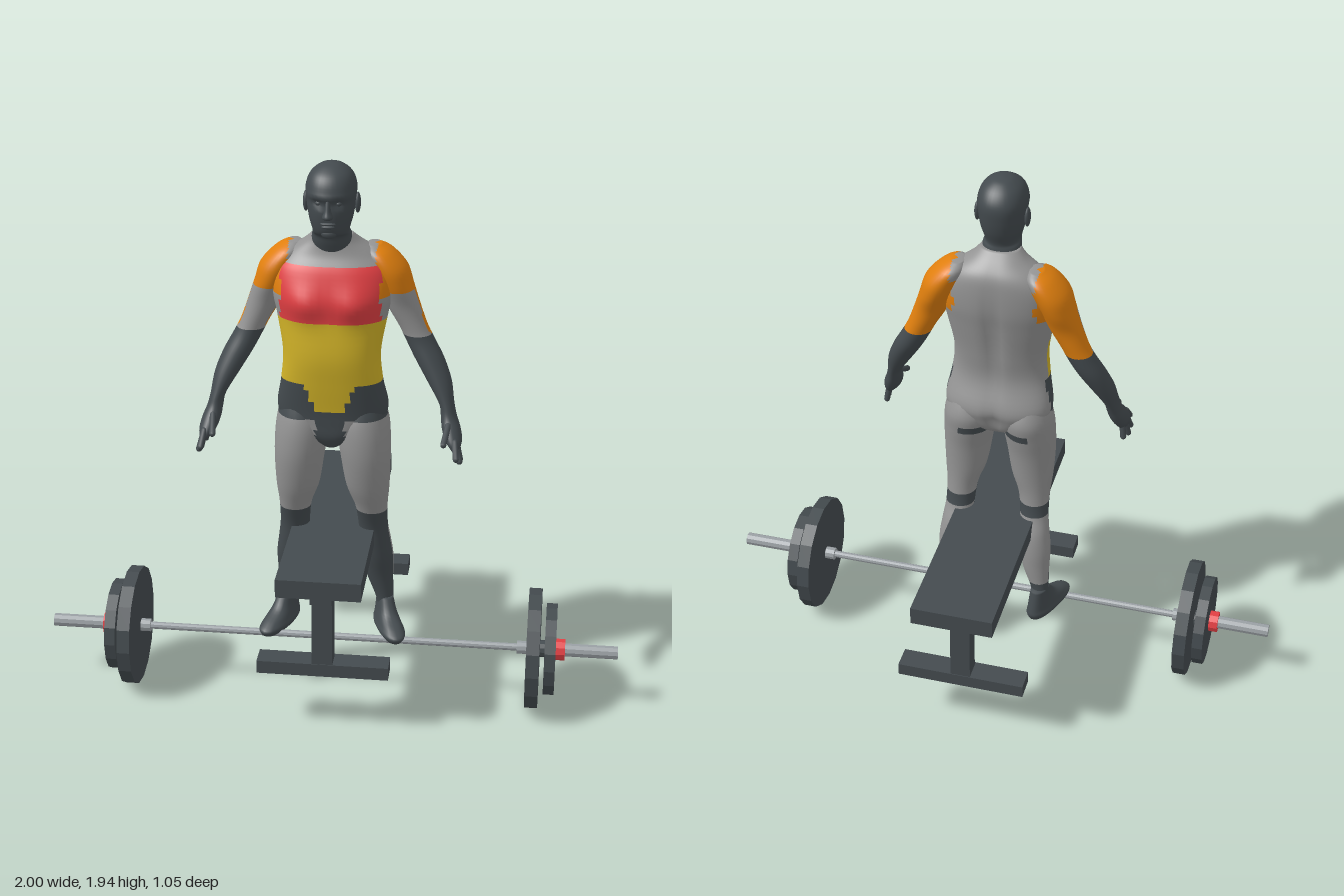
import * as THREE from 'three';

const mat = (name, color) => {
  const m = new THREE.MeshStandardMaterial({ color });
  m.name = name;
  return m;
};
const MATS = [mat('charcoal', 0x444b4f), mat('grey', 0x949494), mat('red', 0xe23f43),
  mat('orange', 0xe07f0e), mat('yellow', 0xd3b428), mat('steel', 0x9aa0a4)];
const DARK = 0, GREY = 1, RED = 2, ORANGE = 3, YELLOW = 4, STEEL = 5;

function add(parent, name, geo, material) {
  const mesh = new THREE.Mesh(geo, material);
  mesh.name = name;
  parent.add(mesh);
  return mesh;
}

// Smooth loft through level sections [y, x0, x1, z0, z1], listed upwards; paint() picks a colour per face
function loft(sections, { seg = 32, steps = 5, power = 1, paint = () => DARK, shape } = {}) {
  const rows = [];
  const at = i => sections[Math.min(Math.max(i, 0), sections.length - 1)];
  for (let i = 0; i < sections.length - 1; i++) {
    for (let k = 0; k < steps; k++) {
      const t = k / steps;
      rows.push(at(i).map((p1, c) => {
        const p0 = at(i - 1)[c], p2 = at(i + 1)[c], p3 = at(i + 2)[c];
        return p1 + 0.5 * t * (p2 - p0 + t * (2 * p0 - 5 * p1 + 4 * p2 - p3 + t * (3 * (p1 - p2) + p3 - p0)));
      }));
    }
  }
  rows.push(at(sections.length - 1));
  const pts = [], bend = v => Math.sign(v) * Math.abs(v) ** power;
  for (const [y, x0, x1, z0, z1] of rows) {
    for (let j = 0; j < seg; j++) {
      const a = j / seg * Math.PI * 2;
      const p = new THREE.Vector3((x0 + x1) / 2 + (x1 - x0) / 2 * bend(Math.cos(a)), y,
        (z0 + z1) / 2 + (z1 - z0) / 2 * bend(Math.sin(a)));
      if (shape) shape(p, Math.sin(a));
      pts.push(p);
    }
  }
  const centre = r => new THREE.Vector3((r[1] + r[2]) / 2, r[0], (r[3] + r[4]) / 2);
  const bottom = pts.push(centre(rows[0])) - 1;
  const top = pts.push(centre(rows[rows.length - 1])) - 1;
  const lists = MATS.map(() => []);
  const face = (...ids) => {
    const c = ids.reduce((s, i) => s.add(pts[i]), new THREE.Vector3()).divideScalar(ids.length);
    const list = lists[paint(Math.abs(c.x), c.y, c.z)];
    for (let k = 2; k < ids.length; k++) list.push(ids[0], ids[k - 1], ids[k]);
  };
  const last = (rows.length - 1) * seg;
  for (let j = 0; j < seg; j++) {
    const n = (j + 1) % seg;
    for (let i = 0; i < last; i += seg) face(i + j, i + seg + j, i + seg + n, i + n);
    face(bottom, j, n);
    face(top, last + n, last + j);
  }
  const geo = new THREE.BufferGeometry().setFromPoints(pts);
  geo.setIndex(lists.flat());
  let start = 0;
  lists.forEach((l, m) => {
    if (l.length) geo.addGroup(start, l.length, m);
    start += l.length;
  });
  geo.computeVertexNormals();
  return geo;
}

const mirror = (sections, s) => s > 0 ? sections : sections.map(([y, a, b, c, d]) => [y, -b, -a, c, d]);
const bump = (v, mid, w) => Math.exp(-(((v - mid) / w) ** 2));

const paintTorso = (x, y, z) => {
  if (z < 0.12) {
    if (y > 1.47 && x > 0.14) return ORANGE;
    return y > 1.08 && y < 1.19 && z > 0.09 ? DARK : GREY;
  }
  if (y > 1.605) return x > 0.15 ? ORANGE : GREY;
  if (y > 1.415) return x < 0.165 ? RED : y > 1.5 ? ORANGE : GREY;
  if (y > 1.2) return YELLOW;
  if (y > 1.1 && x < 0.05 + (y - 1.1) * 0.4) return YELLOW;
  return y > 1.07 || x < 0.05 ? DARK : GREY;
};
const paintLeg = (x, y, z) => {
  if (y < 0.36 || (y > 1.07 && z > 0.11)) return DARK;
  if (y > 0.975 && y < 1.01 && z < 0.06 && x < 0.12) return DARK;
  if (y > 0.71) return GREY;
  if (y > 0.645) return y < 0.685 || z > 0.09 ? DARK : GREY;
  return z > 0.03 + (y - 0.36) * 0.18 ? DARK : GREY;
};
const paintArm = (x, y, z) => {
  if (y < 1.35) return DARK;
  if (y > 1.6 && x < 0.145) return GREY;
  return y < 1.51 && z > 0.095 ? GREY : ORANGE;
};

function buildBody() {
  const body = new THREE.Group();
  body.name = 'body';

  // Torso with chest, spine and buttock relief
  add(body, 'torso', loft([
    [0.96, -0.03, 0.03, 0.08, 0.18], [1.0, -0.1, 0.1, 0.03, 0.2], [1.05, -0.17, 0.17, 0.008, 0.205],
    [1.1, -0.187, 0.187, 0.003, 0.21], [1.2, -0.17, 0.17, 0.038, 0.226], [1.3, -0.163, 0.163, 0.03, 0.238],
    [1.42, -0.183, 0.183, 0.01, 0.23], [1.5, -0.198, 0.198, -0.003, 0.228], [1.58, -0.19, 0.19, -0.004, 0.205],
    [1.63, -0.15, 0.15, 0.005, 0.175], [1.67, -0.095, 0.095, 0.035, 0.165], [1.7, -0.065, 0.065, 0.07, 0.165],
  ], {
    seg: 56, power: 0.85, paint: paintTorso,
    shape: (p, s) => {
      const x = Math.abs(p.x);
      if (s > 0.2) p.z += 0.022 * bump(x, 0.08, 0.06) * bump(p.y, 1.48, 0.055);
      if (s < -0.2) p.z += 0.018 * bump(x, 0, 0.025) * (bump(p.y, 1.38, 0.17) + bump(p.y, 1.04, 0.05));
    },
  }), MATS);

  // Neck and head, with hollow eyes under a brow
  const head = new THREE.Group();
  head.name = 'head';
  body.add(head);
  add(head, 'skull', loft([
    [1.6, -0.06, 0.06, 0.04, 0.15], [1.67, -0.068, 0.068, 0.065, 0.178], [1.705, -0.064, 0.064, 0.074, 0.192],
    [1.725, -0.06, 0.06, 0.074, 0.228], [1.77, -0.072, 0.072, 0.056, 0.242], [1.82, -0.079, 0.079, 0.045, 0.246],
    [1.87, -0.082, 0.082, 0.043, 0.246], [1.91, -0.067, 0.067, 0.065, 0.225],
    [1.935, -0.035, 0.035, 0.1, 0.185], [1.942, -0.006, 0.006, 0.135, 0.15],
  ], {
    seg: 36, power: 0.92,
    shape: (p, s) => {
      if (s < 0.2) return;
      p.z -= 0.014 * bump(Math.abs(p.x), 0.033, 0.018) * bump(p.y, 1.828, 0.013);
      p.z += 0.006 * bump(p.y, 1.85, 0.01);
    },
  }), MATS);
  add(head, 'nose', loft([
    [1.778, -0.012, 0.012, 0.22, 0.25], [1.788, -0.018, 0.018, 0.22, 0.27], [1.81, -0.011, 0.011, 0.22, 0.262],
    [1.845, -0.008, 0.008, 0.22, 0.249],
  ], { seg: 14 }), MATS);
  const blob = (name, x, y, z, sx, sy, sz) => {
    const m = add(head, name, new THREE.SphereGeometry(1, 14, 10), MATS[DARK]);
    m.position.set(x, y, z);
    m.scale.set(sx, sy, sz);
  };
  blob('upperLip', 0, 1.764, 0.24, 0.026, 0.005, 0.008);
  blob('lowerLip', 0, 1.753, 0.238, 0.022, 0.006, 0.008);
  blob('chin', 0, 1.726, 0.218, 0.026, 0.018, 0.016);
  for (const s of [1, -1]) {
    blob('ear', s * 0.084, 1.808, 0.135, 0.01, 0.035, 0.02);
    blob('eye', s * 0.032, 1.828, 0.22, 0.012, 0.01, 0.013);
  }

  // Limbs, mirrored
  for (const s of [1, -1]) {
    const side = s > 0 ? 'left' : 'right';
    add(body, side + 'Leg', loft(mirror([
      [0.22, 0.155, 0.205, -0.015, 0.06], [0.27, 0.15, 0.207, -0.014, 0.056], [0.33, 0.142, 0.205, -0.003, 0.06],
      [0.42, 0.11, 0.204, -0.006, 0.076], [0.5, 0.095, 0.205, -0.007, 0.098], [0.57, 0.088, 0.196, 0.003, 0.112],
      [0.64, 0.085, 0.187, 0.03, 0.126], [0.72, 0.075, 0.187, 0.038, 0.156], [0.8, 0.047, 0.194, 0.035, 0.187],
      [0.9, 0.03, 0.198, 0.025, 0.21], [0.98, 0.018, 0.197, 0.01, 0.215], [1.05, 0.015, 0.19, 0.001, 0.207],
      [1.12, 0.04, 0.17, 0.03, 0.185],
    ], s), { paint: paintLeg }), MATS);

    const foot = add(body, side + 'Foot', loft([
      [0, -0.036, 0.036, -0.06, 0.155], [0.02, -0.046, 0.046, -0.068, 0.165], [0.04, -0.04, 0.04, -0.066, 0.135],
      [0.07, -0.033, 0.033, -0.06, 0.07], [0.12, -0.026, 0.026, -0.05, 0.03],
    ], { seg: 24, power: 0.85 }), MATS);
    foot.position.set(s * 0.178, 0.215, 0.03);
    foot.rotation.y = s * 0.36;

    add(body, side + 'Arm', loft(mirror([
      [0.995, 0.405, 0.437, 0.165, 0.25], [1.02, 0.385, 0.442, 0.145, 0.245], [1.055, 0.372, 0.434, 0.127, 0.222],
      [1.09, 0.367, 0.42, 0.115, 0.195], [1.13, 0.358, 0.41, 0.1, 0.182], [1.2, 0.315, 0.398, 0.07, 0.165],
      [1.27, 0.272, 0.37, 0.045, 0.147], [1.33, 0.24, 0.337, 0.035, 0.132], [1.38, 0.215, 0.312, 0.03, 0.13],
      [1.45, 0.175, 0.287, 0.02, 0.138], [1.52, 0.15, 0.264, -0.004, 0.157], [1.58, 0.12, 0.244, -0.012, 0.163],
      [1.63, 0.1, 0.198, 0, 0.148], [1.655, 0.11, 0.155, 0.04, 0.105],
    ], s), { paint: paintArm }), MATS);

    // Spread fingers and thumb: [base x, y, z, tip x, y, z]
    [[0.42, 1.02, 0.17, 0.428, 0.965, 0.162], [0.423, 1.01, 0.195, 0.437, 0.953, 0.205],
      [0.423, 1.015, 0.22, 0.437, 0.96, 0.242], [0.42, 1.025, 0.235, 0.427, 0.98, 0.272],
      [0.395, 1.07, 0.2, 0.385, 1.03, 0.272]].forEach(([ax, ay, az, bx, by, bz]) => {
      const a = new THREE.Vector3(s * ax, ay, az), b = new THREE.Vector3(s * bx, by, bz);
      const dir = b.clone().sub(a);
      const f = add(body, side + 'Finger', new THREE.CapsuleGeometry(0.0105, dir.length(), 4, 10), MATS[DARK]);
      f.position.copy(a).add(b).multiplyScalar(0.5);
      f.quaternion.setFromUnitVectors(new THREE.Vector3(0, 1, 0), dir.normalize());
    });
  }
  return body;
}

function buildBench() {
  const bench = new THREE.Group();
  bench.name = 'bench';
  const box = (name, w, h, d, y, z) =>
    add(bench, name, new THREE.BoxGeometry(w, h, d), MATS[DARK]).position.set(0, y, z);
  box('pad', 0.285, 0.065, 1.05, 0.597, 0);
  box('rail', 0.075, 0.06, 0.91, 0.535, 0);
  for (const s of [1, -1]) {
    box('post', 0.07, 0.29, 0.065, 0.365, s * 0.39);
    box('crossFoot', 0.45, 0.046, 0.08, 0.238, s * 0.385);
  }
  return bench;
}

function buildBarbell() {
  const bar = new THREE.Group();
  bar.name = 'barbell';
  bar.position.set(0, 0.212, 0.138);
  // Faceted cylinder along x
  const rod = (name, x0, x1, r, sides, m) => {
    const geo = new THREE.CylinderGeometry(r, r, x1 - x0, sides).rotateZ(Math.PI / 2).toNonIndexed();
    geo.computeVertexNormals();
    add(bar, name, geo, MATS[m]).position.x = (x0 + x1) / 2;
  };
  rod('shaft', -0.66, 0.66, 0.013, 10, STEEL);
  for (const s of [1, -1]) {
    const part = (name, a, b, ...rest) => rod(name, Math.min(s * a, s * b), Math.max(s * a, s * b), ...rest);
    part('sleeve', 0.65, 1, 0.023, 10, STEEL);
    part('largePlate', 0.685, 0.73, 0.21, 16, DARK);
    part('smallPlate', 0.747, 0.785, 0.16, 16, DARK);
    part('plateSpacer', 0.73, 0.747, 0.03, 12, DARK);
    part('collar', 0.785, 0.817, 0.038, 10, RED);
  }
  return bar;
}

export function createModel() {
  const model = new THREE.Group();
  model.name = 'athleteWithBenchAndBarbell';
  model.add(buildBody(), buildBench(), buildBarbell());
  return model;
}
